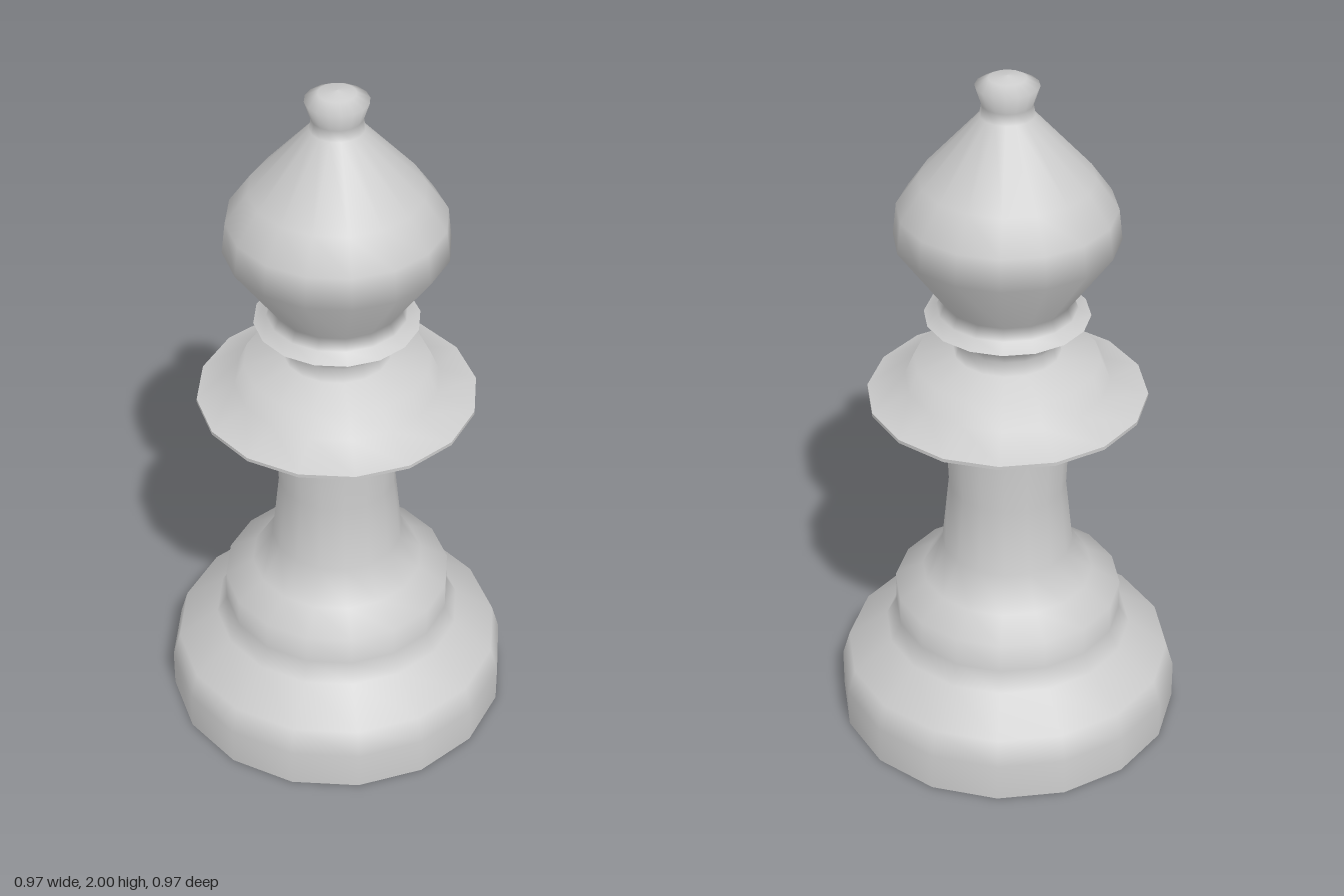
import * as THREE from 'three';

const SIDES = 16;
const TURN = THREE.MathUtils.degToRad(7.6);

// Profiles as [radius, height], bottom to top; each section ends at a sharp edge.
const SECTIONS = {
  footUnderside: [[0, 0], [0.49, 0]],
  baseAndStem: [
    [0.49, 0], [0.49, 0.115], [0.468, 0.19], [0.355, 0.27], [0.325, 0.325],
    [0.325, 0.412], [0.245, 0.46], [0.187, 0.556], [0.166, 0.757], [0.176, 1.0],
  ],
  collarUnderside: [[0.176, 1.0], [0.388, 1.048]],
  collarRim: [[0.388, 1.048], [0.388, 1.058]],
  collarAndNeck: [
    [0.388, 1.058], [0.283, 1.1], [0.257, 1.162], [0.148, 1.187],
    [0.138, 1.225], [0.155, 1.262], [0.227, 1.298],
  ],
  neckRingAndHead: [
    [0.227, 1.3], [0.192, 1.322], [0.178, 1.355], [0.305, 1.535], [0.295, 1.624],
    [0.235, 1.71], [0.073, 1.89], [0.068, 1.92], [0.085, 1.972], [0.05, 1.992], [0, 2.0],
  ],
};

export function createModel() {
  const group = new THREE.Group();
  group.name = 'chessBishop';
  const grey = new THREE.MeshStandardMaterial({ color: 0xcccccc });
  grey.name = 'light grey';

  // Turned sections stacked into one closed piece
  for (const [name, profile] of Object.entries(SECTIONS)) {
    const points = profile.map(([r, y]) => new THREE.Vector2(r, y));
    const mesh = new THREE.Mesh(new THREE.LatheGeometry(points, SIDES, TURN), grey);
    mesh.name = name;
    group.add(mesh);
  }
  return group;
}
